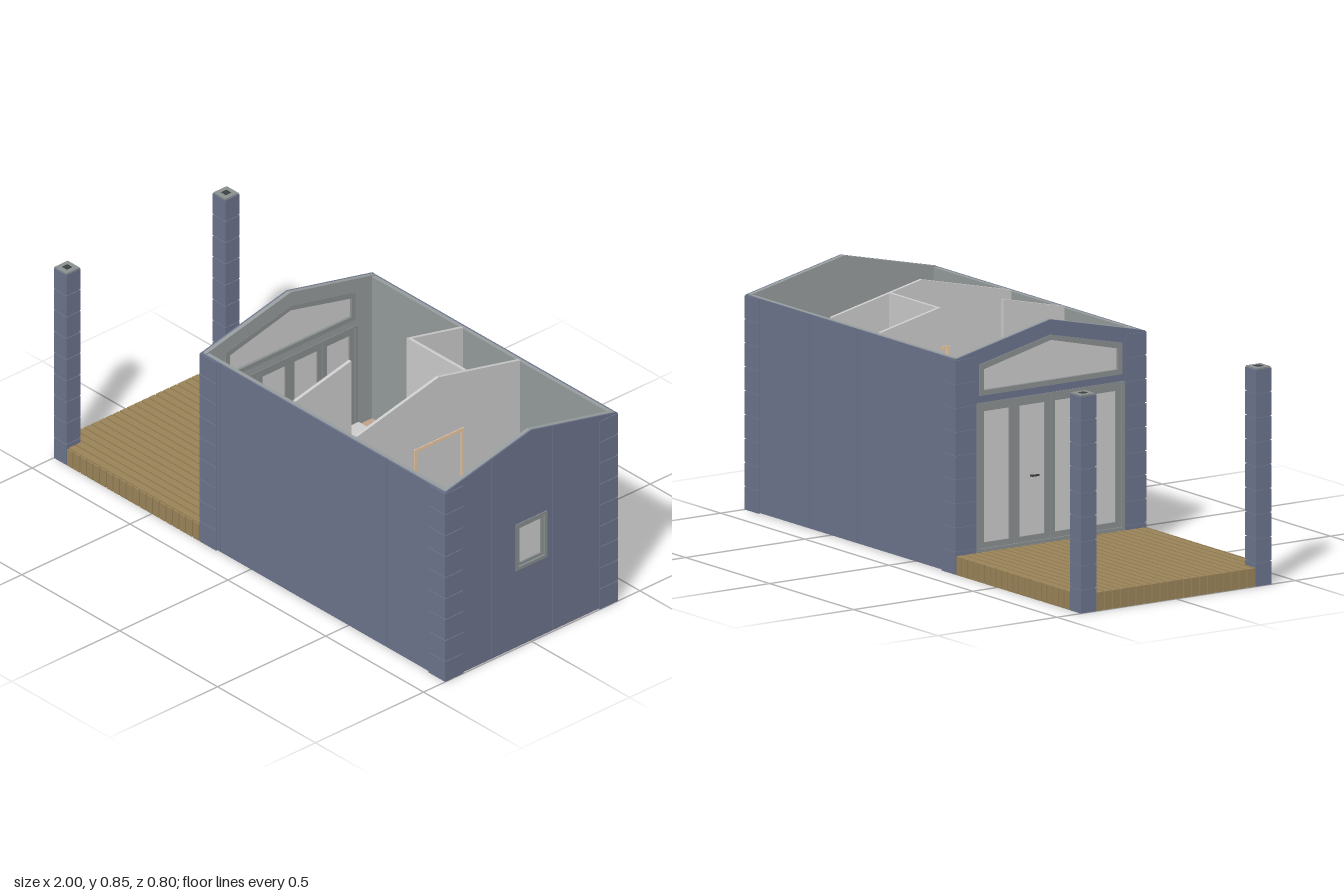
import * as THREE from 'three';

const mat = (c) => new THREE.MeshStandardMaterial({ color: c, side: THREE.DoubleSide });
const GREY = mat(0xcccccc), BLUE = mat(0x6c748c), INNER = mat(0x969b9c), FRAME = mat(0x8a8f90);
const WOOD = mat(0x9a8358), TAN = mat(0xecc9a2), BENCH = mat(0xc0a08a), DARK = mat(0x3c3f42), GLASS = mat(0xd6d8d4);

const X0 = -0.253, X1 = 0.997, Z = 0.397;          // cladding faces of the cabin
const EAVE = 0.755, FLOOR = 0.065, LAYERS = 9;
const roof = (z) => 0.845 - 0.225 * Math.abs(z);   // sloped top line of gable walls

export function createModel() {
  const root = new THREE.Group();
  let parent = root;

  const group = (name) => {
    parent = new THREE.Group();
    parent.name = name;
    root.add(parent);
    return parent;
  };
  const add = (name, geo, material) => {
    const m = new THREE.Mesh(geo, material);
    m.name = name;
    parent.add(m);
    return m;
  };
  const box = (name, material, x0, x1, y0, y1, z0, z1) => {
    const m = add(name, new THREE.BoxGeometry(x1 - x0, y1 - y0, z1 - z0), material);
    m.position.set((x0 + x1) / 2, (y0 + y1) / 2, (z0 + z1) / 2);
    return m;
  };
  // Plate in the z-y plane, extruded from x0 to x1, with optional holes
  const plate = (name, material, x0, x1, pts, holes = []) => {
    const v = (list) => list.map(([z, y]) => new THREE.Vector2(z, y));
    const shape = new THREE.Shape(v(pts));
    holes.forEach((h) => shape.holes.push(new THREE.Path(v(h))));
    const geo = new THREE.ExtrudeGeometry(shape, { depth: x1 - x0, bevelEnabled: false });
    geo.rotateY(-Math.PI / 2).translate(x1, 0, 0);
    return add(name, geo, material);
  };
  const rect = (z0, z1, y0, y1) => [[z0, y0], [z1, y0], [z1, y1], [z0, y1]];
  // Outline under the roof line between two z values
  const gable = (z0, z1, y0) => [[z0, y0], [z1, y0], [z1, roof(z1)],
    ...(z0 < 0 && z1 > 0 ? [[0, roof(0)]] : []), [z0, roof(z0)]];
  const inset = (r, d) => rect(r[0][0] + d, r[1][0] - d, r[0][1] + d, r[2][1] - d);

  // Deck: solid base, long boards on top and upright slats around the edge
  group('deck');
  box('deckBase', WOOD, -0.995, -0.25, 0, 0.058, -0.395, 0.395);
  const boards = 24, bw = 0.79 / boards;
  for (let i = 0; i < boards; i++) {
    const z = -0.395 + i * bw;
    box('deckBoard', WOOD, -0.995, -0.255, 0.058, FLOOR, z, z + bw - 0.006);
  }
  for (let i = 0; i < 20; i++) {
    const x = -0.932 + i * 0.0338;
    for (const s of [-1, 1]) box('deckEdgeSlat', WOOD, x, x + 0.029, 0, FLOOR, s * 0.397 - 0.003, s * 0.397 + 0.003);
    const z = -0.332 + i * 0.0332;
    box('deckEndSlat', WOOD, -1, -0.994, 0, FLOOR, z, z + 0.028);
  }

  // Corner posts made of stacked blocks
  for (const s of [-1, 1]) {
    group('post');
    const zc = s * 0.3675;
    box('postCore', BLUE, -0.997, -0.938, 0, 0.762, zc - 0.0295, zc + 0.0295);
    for (let i = 0; i < LAYERS; i++)
      box('postBlock', BLUE, -1, -0.935, i * 0.085, i * 0.085 + 0.081, zc - 0.0325, zc + 0.0325);
    box('postCap', FRAME, -0.998, -0.937, 0.761, 0.766, zc - 0.0305, zc + 0.0305);
    box('postSocket', DARK, -0.98, -0.955, 0.766, 0.767, zc - 0.0125, zc + 0.0125);
  }

  // Long walls: grey lining with seamed outer panels
  for (const [s, seams] of [[1, [-0.15, 0.14, 0.695]], [-1, [0.225, 0.334, 0.616]]]) {
    group(s > 0 ? 'frontWall' : 'backWall');
    const lo = s > 0 ? 0.376 : -0.391;
    box('wallLining', INNER, X0 + 0.006, X1 - 0.006, 0.003, EAVE, lo, lo + 0.015);
    const edges = [X0, ...seams, X1];
    for (let i = 0; i < edges.length - 1; i++)
      box('wallPanel', BLUE, edges[i] + 0.001, edges[i + 1] - 0.001, 0.003, EAVE, Math.min(s * 0.391, s * Z), Math.max(s * 0.391, s * Z));
  }

  // Window end wall
  const winHole = rect(-0.07, 0.07, 0.313, 0.492);
  group('windowWall');
  plate('wallLining', INNER, 0.976, 0.991, gable(-0.39, 0.39, 0.003), [winHole]);
  plate('middlePanel', BLUE, 0.991, X1, gable(-0.099, 0.184, 0.003), [winHole]);
  plate('sidePanel', BLUE, 0.991, X1, gable(0.186, Z, 0.003));
  plate('sidePanel', BLUE, 0.991, X1, gable(-Z, -0.101, 0.003));
  const win = rect(-0.073, 0.073, 0.31, 0.495);
  plate('windowTrim', FRAME, 0.969, 1, win, [inset(win, 0.012)]);
  plate('windowSash', FRAME, 0.976, 0.994, inset(win, 0.012), [inset(win, 0.023)]);
  plate('windowPane', GREY, 0.982, 0.987, inset(win, 0.022));

  // Door end wall with a gable light above four glazed doors
  const doorHole = rect(-0.31, 0.31, FLOOR, 0.59);
  const light = (d) => [[-0.3 + d, 0.615 + d], [0.3 - d, 0.615 + d], [0.3 - d, 0.725 - d], [0, 0.792 - d], [-0.3 + d, 0.725 - d]];
  group('doorWall');
  plate('wallLining', INNER, X0 + 0.006, X0 + 0.021, gable(-0.39, 0.39, 0.003), [doorHole, light(0)]);
  plate('wallPanel', BLUE, X0, X0 + 0.006, gable(-Z, Z, 0.003), [doorHole, light(0)]);
  plate('gableLightFrame', FRAME, X0 - 0.003, X0 + 0.022, light(0), [light(0.018)]);
  plate('gableLightPane', GREY, X0 + 0.008, X0 + 0.012, light(0.017));
  plate('doorFrame', FRAME, X0 - 0.003, X0 + 0.023, doorHole, [inset(doorHole, 0.012)]);
  for (let i = 0; i < 4; i++) {
    const z = -0.298 + i * 0.149, leaf = rect(z + 0.001, z + 0.148, 0.077, 0.578);
    plate('doorLeaf', FRAME, X0 + 0.003, X0 + 0.018, leaf, [inset(leaf, 0.02)]);
    plate('doorPane', GREY, X0 + 0.008, X0 + 0.012, inset(leaf, 0.019));
  }
  for (const x of [X0 - 0.012, X0 + 0.02]) {
    box('doorHandle', DARK, x, x + 0.014, 0.305, 0.311, -0.085, -0.079);
    box('doorLever', DARK, x, x + 0.005, 0.305, 0.311, -0.085, -0.055);
  }

  // Quoins wrapping the four corners
  group('quoins');
  for (const sx of [-1, 1]) for (const sz of [-1, 1]) for (let i = 0; i < LAYERS; i++) {
    const y = i * 0.084, L = 0.085, xo = sx > 0 ? 1 : X0 - 0.003;
    const xs = [xo, xo - sx * L].sort((a, b) => a - b), zs = [sz * 0.396, sz * 0.4].sort((a, b) => a - b);
    box('quoinSide', BLUE, xs[0], xs[1], y, y + 0.08, zs[0], zs[1]);
    const xe = [xo, xo - sx * 0.004].sort((a, b) => a - b), ze = [sz * (0.4 - L), sz * 0.4].sort((a, b) => a - b);
    box('quoinEnd', BLUE, xe[0], xe[1], y, y + 0.08, ze[0], ze[1]);
  }

  // Floor, raised inside the walls, with the shower tray dropping below it
  group('floor');
  box('subfloor', WOOD, X0 + 0.02, 0.977, 0.052, 0.058, -0.377, 0.377);
  box('floorBoards', TAN, X0 + 0.02, 0.977, 0.058, FLOOR, -0.377, 0.377);
  box('showerTray', GREY, 0.215, 0.515, 0.012, 0.052, 0.16, 0.377);

  // Partitions, cut to the roof slope
  group('partitions');
  const doorway = rect(-0.115, 0.115, FLOOR + 0.004, 0.6);
  plate('bedroomWall', GREY, 0.513, 0.525, gable(-0.377, 0.377, FLOOR), [doorway]);
  plate('doorwayTrim', TAN, 0.51, 0.528, doorway, [inset(doorway, 0.012)]);
  plate('bedroomDoor', GREY, 0.516, 0.522, inset(doorway, 0.011));
  plate('showerWall', GREY, 0.198, 0.211, gable(0.12, 0.377, FLOOR));
  plate('bathroomSide', GREY, 0.222, 0.234, gable(-0.377, -0.126, FLOOR));
  box('bathroomFront', GREY, 0.234, 0.513, FLOOR, 0.816, -0.138, -0.126);
  box('bathroomDoor', FRAME, 0.27, 0.48, FLOOR + 0.005, 0.58, -0.126, -0.12);
  for (const z of [-0.15, -0.114]) box('bathroomHandle', DARK, 0.285, 0.32, 0.3, 0.306, z, z + 0.005);
  for (const x of [0.504, 0.53]) box('bedroomHandle', DARK, x, x + 0.005, 0.3, 0.306, -0.08, -0.05);
  box('showerScreen', FRAME, 0.36, 0.513, FLOOR, 0.55, 0.152, 0.158);
  const basin = add('showerBasin', new THREE.SphereGeometry(1, 24, 12), mat(0xcfdde2));
  basin.scale.set(0.11, 0.01, 0.008);
  basin.position.set(0.4, FLOOR + 0.01, 0.24);

  // Kitchen
  group('kitchen');
  box('baseCabinet', GREY, -0.15, 0.198, FLOOR, 0.295, 0.228, 0.376);
  box('worktop', GREY, -0.152, 0.198, 0.295, 0.308, 0.22, 0.376);
  box('sinkRim', FRAME, -0.12, 0.02, 0.308, 0.311, 0.235, 0.305);
  box('sinkBowl', DARK, -0.07, 0.012, 0.311, 0.313, 0.245, 0.3);
  const tap = new THREE.CatmullRomCurve3([[0, 0, 0], [0, 0.045, 0], [0, 0.055, -0.02], [0, 0.04, -0.035]].map((p) => new THREE.Vector3(...p)));
  add('tap', new THREE.TubeGeometry(tap, 12, 0.004, 8), FRAME).position.set(-0.03, 0.31, 0.31);
  box('hob', DARK, 0.05, 0.185, 0.308, 0.312, 0.255, 0.29);
  for (let i = 0; i < 3; i++)
    box('wallCabinet', GREY, -0.15 + i * 0.116, -0.036 + i * 0.116, 0.45, 0.575, 0.302, 0.376);

  // Living room bench and table
  group('livingRoom');
  box('bench', BENCH, -0.23, 0.222, FLOOR, 0.19, -0.376, -0.285);
  box('tableTop', GLASS, -0.155, 0.145, 0.25, 0.262, -0.245, -0.08);
  for (const x of [-0.145, 0.125]) for (const z of [-0.235, -0.1])
    box('tableLeg', GLASS, x, x + 0.01, FLOOR, 0.25, z, z + 0.01);

  // Toilet
  group('toilet');
  box('cistern', GREY, 0.325, 0.415, 0.15, 0.27, -0.376, -0.33);
  const profile = [[0, 0], [0.026, 0], [0.028, 0.05], [0.046, 0.1], [0.046, 0.115], [0, 0.115]].map((p) => new THREE.Vector2(...p));
  const bowl = add('bowl', new THREE.LatheGeometry(profile, 24), GREY);
  bowl.scale.z = 1.35;
  bowl.position.set(0.37, FLOOR, -0.283);
  box('bowlBack', GREY, 0.335, 0.405, FLOOR, 0.178, -0.36, -0.29);

  // Bedroom: corner desk on end panels, and a stool turned by 45 degrees
  group('bedroom');
  box('deskLong', GREY, 0.8, 0.976, 0.255, 0.27, -0.376, 0.376);
  box('deskShort', GREY, 0.525, 0.8, 0.255, 0.27, 0.2, 0.376);
  for (const z of [-0.376, 0.364]) box('deskPanel', GREY, 0.81, 0.97, FLOOR, 0.255, z, z + 0.012);
  box('deskPanel', GREY, 0.527, 0.539, FLOOR, 0.255, 0.21, 0.37);
  const stool = box('stool', FRAME, 0.525, 0.615, FLOOR, 0.19, -0.3, -0.21);
  stool.rotation.y = Math.PI / 4;
  stool.position.x = 0.592;

  return root;
}
